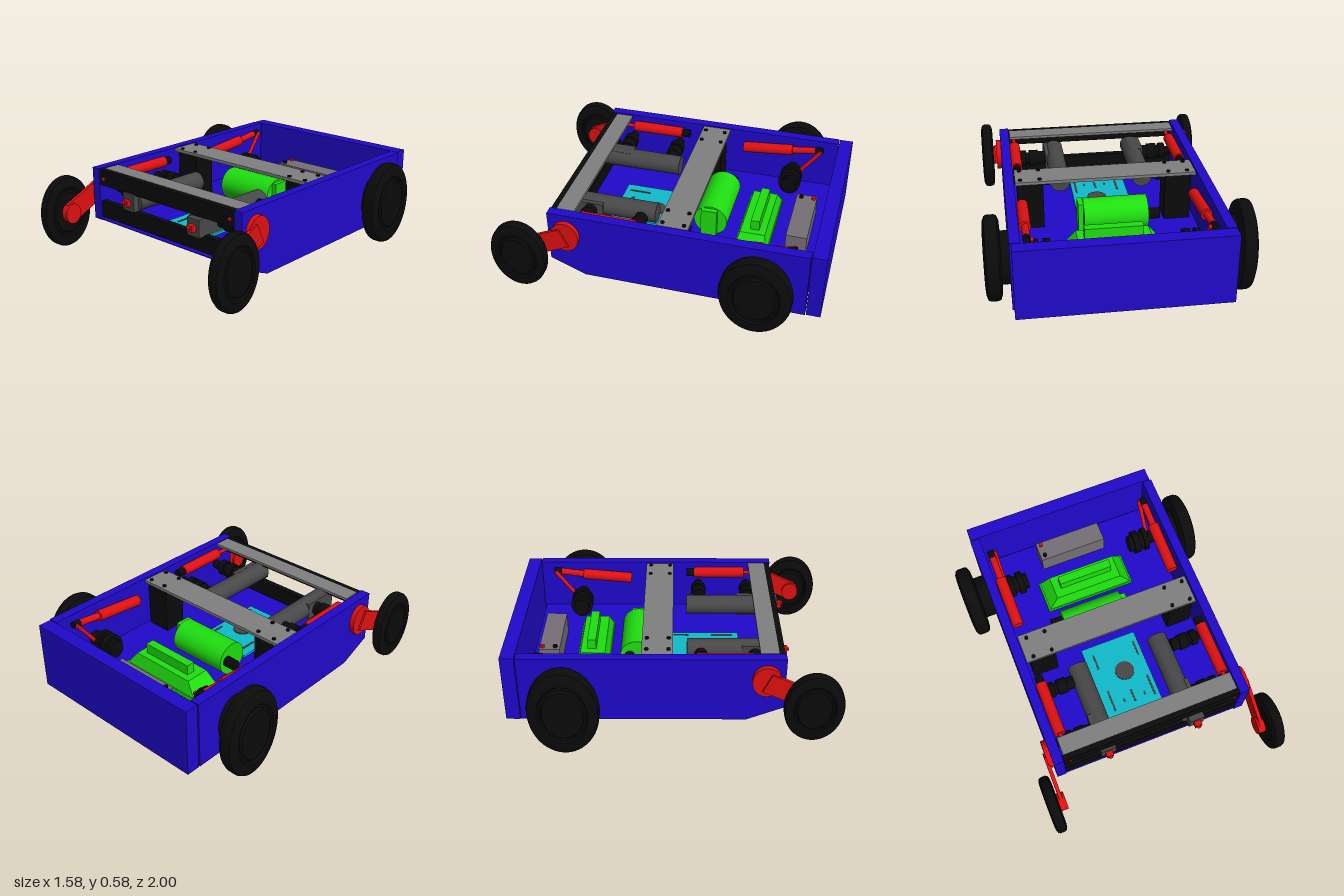
import * as THREE from 'three';
import { toCreasedNormals } from 'three/addons/utils/BufferGeometryUtils.js';

const mat = (color) => new THREE.MeshStandardMaterial({ color });

export function createModel() {
  const model = new THREE.Group();
  const blue = mat(0x2009cc), red = mat(0xe01010), black = mat(0x0b0b0b), green = mat(0x1fe010);
  const cyan = mat(0x10bccc), grey = mat(0x808080), dark = mat(0x484848);

  function add(name, geometry, material, x = 0, y = 0, z = 0) {
    const mesh = new THREE.Mesh(geometry, material);
    mesh.name = name;
    mesh.position.set(x, y, z);
    model.add(mesh);
    return mesh;
  }
  // box from its limits on each axis
  function box(name, material, [x0, x1], [y0, y1], [z0, z1]) {
    return add(name, new THREE.BoxGeometry(x1 - x0, y1 - y0, z1 - z0), material,
      (x0 + x1) / 2, (y0 + y1) / 2, (z0 + z1) / 2);
  }
  // cylinder between two points
  function rod(name, material, a, b, r, r2 = r) {
    const p = new THREE.Vector3(...a), q = new THREE.Vector3(...b), d = q.clone().sub(p);
    const mesh = add(name, new THREE.CylinderGeometry(r2, r, d.length(), 32), material);
    mesh.position.copy(p).add(q).multiplyScalar(0.5);
    mesh.quaternion.setFromUnitVectors(new THREE.Vector3(0, 1, 0), d.normalize());
    return mesh;
  }
  // disc across x, squashed along z
  function disc(name, material, x0, x1, y, z, r, squash = 0.78) {
    const g = new THREE.CylinderGeometry(r, r, Math.abs(x1 - x0), 40).rotateZ(Math.PI / 2).scale(1, 1, squash);
    return add(name, g, material, (x0 + x1) / 2, y, z);
  }
  // side profile (z, y) extruded from x0 to x1
  function sideProfile(name, material, points, x0, x1) {
    const shape = new THREE.Shape(points.map((p) => new THREE.Vector2(...p)));
    const g = new THREE.ExtrudeGeometry(shape, { depth: x1 - x0, bevelEnabled: false });
    return add(name, g.rotateY(-Math.PI / 2).translate(x1, 0, 0), material);
  }

  // body tub
  const wall = [[-0.91, 0.14], [0.44, 0.14], [0.66, 0.23], [0.66, 0.57], [-0.91, 0.57]];
  sideProfile('rightWall', blue, wall, -0.62, -0.56);
  sideProfile('leftWall', blue, wall, 0.58, 0.64);
  sideProfile('floor', blue, [[-0.9, 0.14], [0.44, 0.14], [0.655, 0.23], [0.655, 0.235], [-0.9, 0.235]], -0.56, 0.58);
  box('rearPanel', blue, [-0.615, 0.63], [0.135, 0.57], [-1, -0.915]);

  // wheels: tyre section with a recessed ring on both faces
  function wheel(name, side, xIn, width, y, z, r, squash) {
    const half = [[0, 0], [0.56, 0], [0.6, 0.12], [0.66, 0.12], [0.7, 0], [0.86, 0.03], [0.97, 0.14], [1, 0.3]];
    const full = [...half, ...half.map(([a, b]) => [a, 1 - b]).reverse()];
    const g = new THREE.LatheGeometry(full.map(([a, b]) => new THREE.Vector2(a * r, b * width)), 48);
    const mesh = add(name, toCreasedNormals(g.rotateZ(-Math.PI / 2).scale(1, 1, squash), 0.6), black, side * xIn, y, z);
    if (side < 0) mesh.rotation.y = Math.PI;
  }
  wheel('rearRightWheel', -1, 0.685, 0.105, 0.29, -0.635, 0.29, 0.73);
  wheel('rearLeftWheel', 1, 0.685, 0.1, 0.315, -0.628, 0.262, 0.82);
  wheel('frontRightWheel', -1, 0.67, 0.075, 0.3, 0.823, 0.23, 0.77);
  wheel('frontLeftWheel', 1, 0.69, 0.08, 0.3, 0.823, 0.23, 0.77);

  for (const [s, edge, label] of [[-1, 0.62, 'Right'], [1, 0.64, 'Left']]) {
    // rear hub and jointed drive axle
    disc(`rear${label}Hub`, black, s * 0.6, s * 0.7, 0.315, -0.63, 0.165);
    const off = s > 0 ? 0.02 : 0;
    for (const [a, b, r] of [[0.35, 0.38, 0.06], [0.38, 0.42, 0.085], [0.42, 0.45, 0.065], [0.45, 0.48, 0.085], [0.48, 0.6, 0.05]]) {
      disc(`rear${label}AxleJoint`, black, s * (a + off), s * (b + off), 0.33, -0.63, r, 0.85);
    }
    // swing arm carrying the front wheel
    disc(`arm${label}Pivot`, red, s * (edge - 0.02), s * (edge + 0.03), 0.43, 0.548, 0.1, 0.86);
    const arm = add(`arm${label}`, new THREE.BoxGeometry(0.022, 0.13, 0.31), red, s * (edge + 0.03), 0.365, 0.69);
    arm.rotation.x = Math.atan2(0.13, 0.28);
    disc(`front${label}Hub`, red, s * (edge + 0.005), s * (edge + 0.07), 0.3, 0.825, 0.065, 0.85);

    // front and rear shock absorbers
    const xf = s < 0 ? -0.52 : 0.547, xr = s < 0 ? -0.52 : 0.54;
    rod('frontShockCap', black, [xf, 0.51, 0.09], [xf, 0.51, 0.14], 0.026);
    rod('frontShockBody', red, [xf, 0.51, 0.14], [xf, 0.51, 0.48], 0.035);
    rod('frontShockRod', red, [xf, 0.51, 0.48], [xf, 0.51, 0.66], 0.013);
    rod('rearShockBody', red, [xr, 0.47, -0.29], [xr, 0.5, -0.62], 0.035);
    rod('rearShockRod', red, [xr, 0.5, -0.62], [xr, 0.52, -0.77], 0.022);
    rod('rearShockCap', black, [xr, 0.52, -0.77], [xr, 0.525, -0.82], 0.022);
    rod('rearShockLink', red, [xr - s * 0.025, 0.53, -0.81], [xr - s * 0.025, 0.33, -0.66], 0.013);

    // front drive motors with gearboxes, shaft tips and side couplings
    const xm = s < 0 ? -0.265 : 0.273, zEnd = s < 0 ? 0.67 : 0.69, xb = s < 0 ? -0.28 : 0.295;
    const ym = s < 0 ? 0.415 : 0.405;
    rod(`motor${label}`, dark, [xm, 0.415, 0.085], [xm, 0.415, zEnd - 0.04], 0.063);
    box(`motor${label}Gearbox`, dark, [xb - 0.048, xb + 0.048], [ym - 0.055, ym + 0.055], [0.42, zEnd]);
    box(`motor${label}Collar`, red, [xb - 0.022, xb + 0.022], [ym - 0.02, ym + 0.02], [zEnd, zEnd + 0.03]);
    rod(`motor${label}Tip`, red, [xb, ym, zEnd], [xb, ym + 0.012, zEnd + 0.04], 0.013);
    for (const z of [0.17, 0.5]) {
      for (const [a, b, r] of [[0.32, 0.37, 0.045], [0.37, 0.43, 0.055], [0.43, 0.45, 0.04], [0.45, 0.49, 0.055], [0.49, 0.58, 0.03]]) {
        disc(`motor${label}Coupling`, black, s * (a + off), s * (b + off), 0.41, z, r, 0.9);
      }
    }
  }

  // cross plates, posts and screws
  box('middlePlate', grey, [-0.555, 0.572], [0.545, 0.565], [-0.185, 0]);
  box('frontPlate', grey, [-0.55, 0.575], [0.55, 0.567], [0.51, 0.62]);
  box('rightPost', black, [-0.53, -0.365], [0.235, 0.545], [-0.165, -0.015]);
  box('leftPost', black, [0.4, 0.56], [0.235, 0.545], [-0.165, -0.015]);
  for (const x of [-0.505, -0.385, 0.42, 0.54]) for (const z of [-0.155, -0.025]) {
    rod('plateScrew', black, [x, 0.56, z], [x, 0.573, z], 0.012);
  }

  // front bumper bars
  box('upperBumper', black, [-0.558, 0.6], [0.465, 0.565], [0.62, 0.655]);
  box('lowerBumper', black, [-0.558, 0.6], [0.25, 0.355], [0.61, 0.65]);

  // control board with chip and slots
  box('controlBoard', cyan, [-0.19, 0.18], [0.235, 0.25], [-0.06, 0.43]);
  rod('boardChip', dark, [0.025, 0.25, 0.17], [0.025, 0.256, 0.17], 0.062);
  for (const [x, z, l] of [[-0.128, 0.33, 0.14], [0.15, 0.32, 0.14], [0.15, 0.05, 0.1], [-0.128, 0.05, 0.1], [0.015, 0.345, 0.08], [-0.05, 0.355, 0.02], [0.09, 0.355, 0.02]]) {
    box('boardSlot', dark, [x - 0.006, x + 0.006], [0.25, 0.254], [z - l / 2, z + l / 2]);
  }

  // large drum motor
  disc('drumMotor', green, -0.235, 0.165, 0.338, -0.225, 0.105, 1);
  disc('drumShaft', black, -0.31, -0.235, 0.34, -0.27, 0.035, 0.9);
  box('drumTerminal', green, [0.165, 0.197], [0.25, 0.43], [-0.27, -0.17]);

  // bevelled gear housing: four-sided frustum with a block on top
  box('housingBase', green, [-0.285, 0.305], [0.235, 0.26], [-0.61, -0.4]);
  const frustum = new THREE.CylinderGeometry(0.55, 0.7071, 1, 4, 1).rotateY(Math.PI / 4).toNonIndexed();
  frustum.computeVertexNormals();
  add('housingSlope', frustum.scale(0.57, 0.085, 0.2), green, 0.01, 0.302, -0.505);
  box('housingBlock', green, [-0.165, 0.19], [0.34, 0.41], [-0.54, -0.485]);

  // battery with terminals
  box('battery', mat(0x767076), [-0.215, 0.225], [0.235, 0.37], [-0.84, -0.71]);
  rod('positiveTerminal', red, [-0.185, 0.37, -0.82], [-0.185, 0.385, -0.82], 0.013);
  rod('negativeTerminal', black, [-0.185, 0.37, -0.74], [-0.185, 0.385, -0.74], 0.013);

  return model;
}
